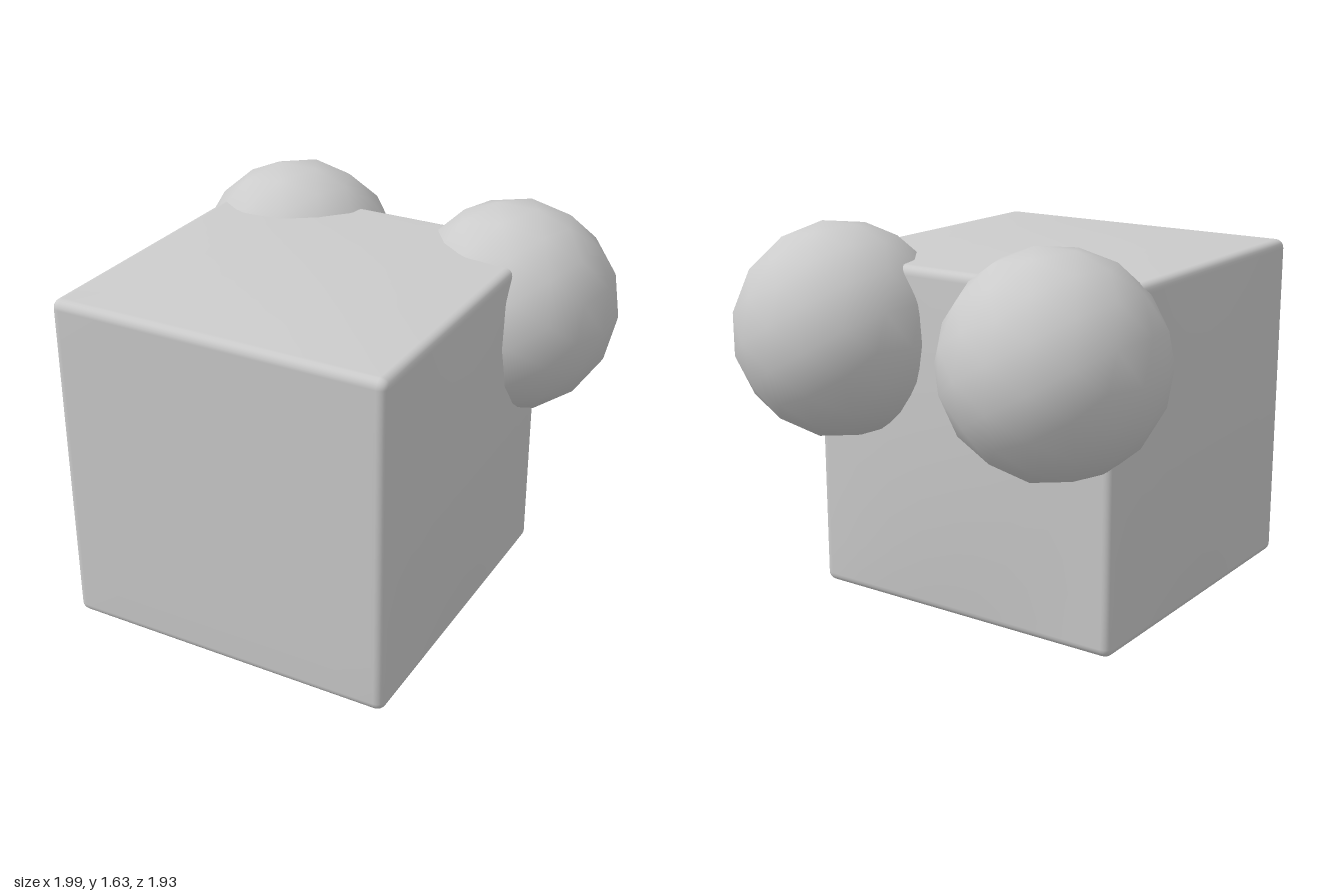
import * as THREE from 'three';
import { mergeVertices } from 'three/addons/utils/BufferGeometryUtils.js';

// Cube with rounded edges; all sides except the front and bottom swell slightly.
function swollenBox(size, radius, swell) {
  const n = 14, bevel = 3, half = size / 2, flat = half - radius;
  const geo = new THREE.BoxGeometry(1, 1, 1, n, n, n);
  geo.deleteAttribute('uv');
  geo.deleteAttribute('normal');
  const merged = mergeVertices(geo);
  const pos = merged.attributes.position;
  const p = new THREE.Vector3(), inner = new THREE.Vector3();
  // Pack the outer grid rows into the rounded edges.
  const remap = (t) => {
    const a = Math.abs(t) * n, m = n / 2 - bevel;
    return Math.sign(t) * (a <= m ? (a / m) * flat : flat + ((a - m) / bevel) * radius);
  };
  const hump = (u, v) => swell * Math.max(0, 1 - (u / flat) ** 2) * Math.max(0, 1 - (v / flat) ** 2);
  for (let i = 0; i < pos.count; i++) {
    p.fromBufferAttribute(pos, i);
    p.set(remap(p.x), remap(p.y), remap(p.z));
    inner.copy(p).clampScalar(-flat, flat);
    p.sub(inner).setLength(radius).add(inner);
    const { x, y, z } = p;
    if (Math.abs(x) > half - 1e-4) p.x += Math.sign(x) * hump(y, z);
    if (y > half - 1e-4) p.y += hump(x, z);
    if (z < -half + 1e-4) p.z -= hump(x, y);
    pos.setXYZ(i, p.x, p.y, p.z);
  }
  merged.computeVertexNormals();
  return merged;
}

export function createModel() {
  const model = new THREE.Group();
  const grey = new THREE.MeshStandardMaterial({ color: 0xcccccc });

  // Main block
  const block = new THREE.Mesh(swollenBox(1.486, 0.04, 0.027), grey);
  block.name = 'block';
  block.position.set(-0.075, 0.743, 0.215);
  model.add(block);

  // Two balls sunk into the upper back corners
  const ballGeo = new THREE.IcosahedronGeometry(0.466, 2);
  for (const [name, side] of [['leftBall', 1], ['rightBall', -1]]) {
    const ball = new THREE.Mesh(ballGeo, grey);
    ball.name = name;
    ball.position.set(side * 0.539, 1.173, -0.511);
    model.add(ball);
  }
  return model;
}
